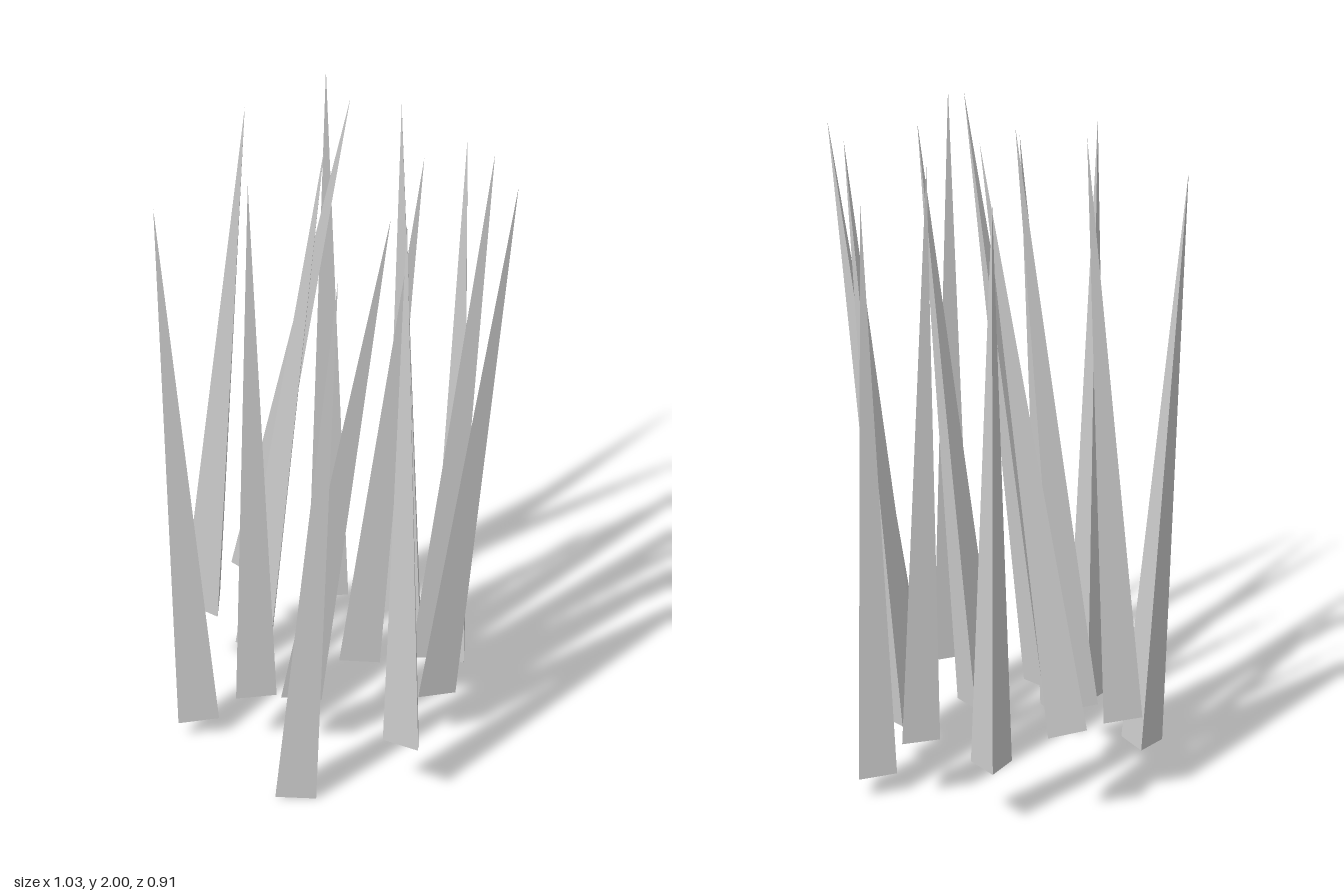
import * as THREE from 'three';

// Each spike: base centre x, z; tip x, y, z; heading of one base corner (degrees from +z towards +x)
const SPIKES = [
  [-0.205, -0.396, -0.205, 1.925, -0.395, 90],
  [-0.384, -0.293, -0.050, 1.99, -0.177, 45],
  [0.059, -0.355, 0.070, 1.94, -0.275, 50],
  [0.187, -0.375, 0.239, 1.815, -0.360, 49],
  [0.182, -0.203, 0.394, 1.905, -0.167, 86],
  [0.018, -0.063, 0.231, 1.94, -0.026, 84],
  [0.255, -0.025, 0.512, 1.895, -0.043, 104],
  [-0.258, 0.011, -0.046, 1.955, 0.048, 46],
  [-0.452, -0.086, -0.311, 2.0, -0.015, 47],
  [-0.381, 0.185, -0.474, 1.805, 0.297, 87],
  [-0.209, 0.180, -0.200, 1.925, 0.261, 89],
  [-0.073, 0.170, 0.242, 1.915, 0.280, 85],
  [0.286, 0.269, 0.288, 1.92, 0.270, 50],
  [-0.004, 0.398, 0.128, 1.755, 0.405, 82],
];
const LENGTH = 1.755;
const RADIUS = 0.0675;

export function createModel() {
  const model = new THREE.Group();
  model.name = 'spikeCluster';
  const material = new THREE.MeshStandardMaterial({ color: 0xcccccc, flatShading: true });

  // Three-sided spike with its origin at the base centre
  const geometry = new THREE.ConeGeometry(RADIUS, LENGTH, 3);
  geometry.translate(0, LENGTH / 2, 0);

  const up = new THREE.Vector3(0, 1, 0);
  SPIKES.forEach(([bx, bz, tx, ty, tz, heading], i) => {
    // All spikes share one length, so the lean fixes the base height
    const rise = Math.sqrt(LENGTH ** 2 - (tx - bx) ** 2 - (tz - bz) ** 2);
    const axis = new THREE.Vector3(tx - bx, rise, tz - bz).normalize();
    const yaw = new THREE.Quaternion().setFromAxisAngle(up, THREE.MathUtils.degToRad(heading));

    const spike = new THREE.Mesh(geometry, material);
    spike.name = `spike${i + 1}`;
    spike.position.set(bx, ty - rise, bz);
    spike.quaternion.setFromUnitVectors(up, axis).multiply(yaw);
    model.add(spike);
  });
  return model;
}
